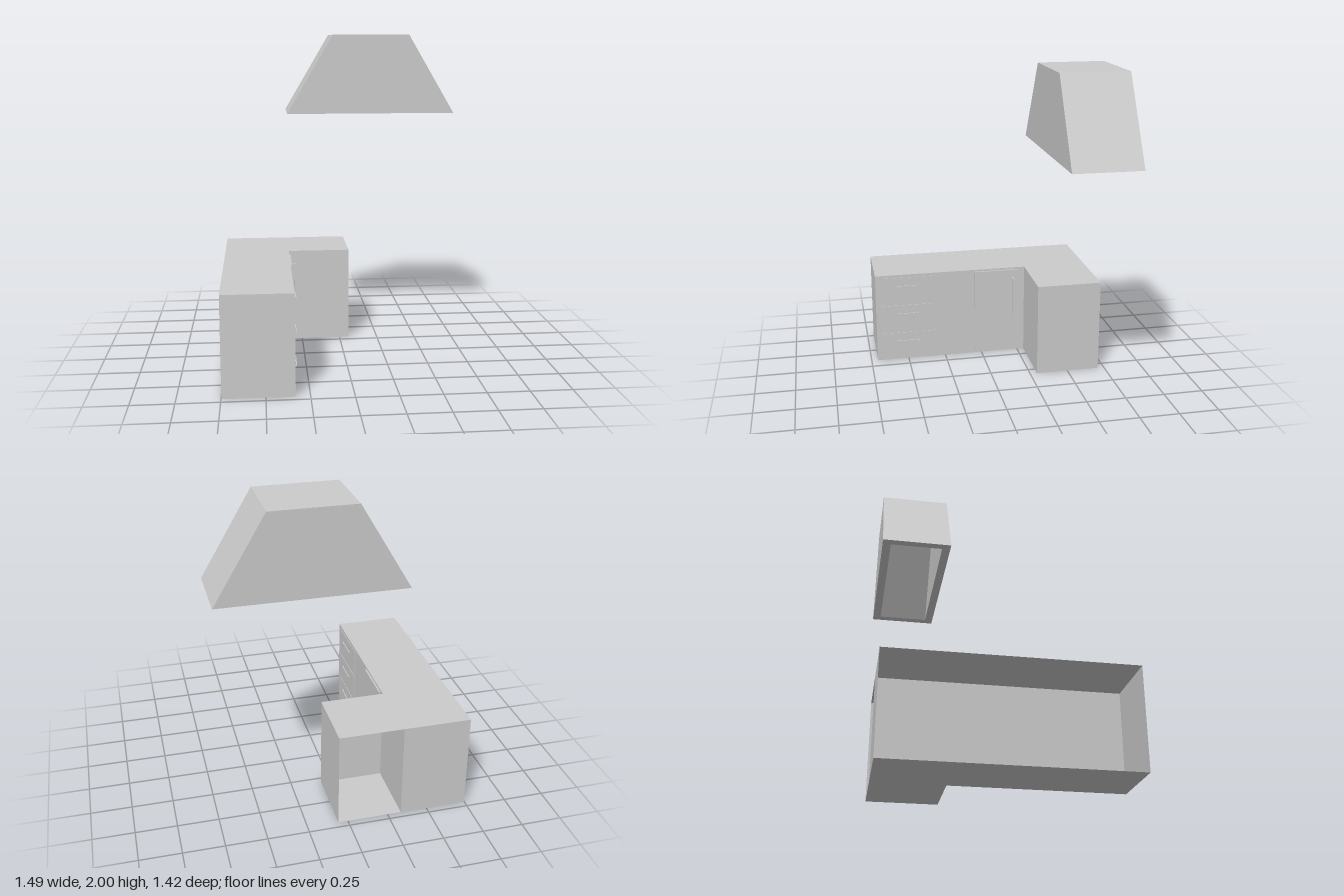
import * as THREE from 'three';

const grey = new THREE.MeshStandardMaterial({ color: 0xcccccc });
const sheet = new THREE.MeshStandardMaterial({ color: 0xcccccc, side: THREE.DoubleSide });
const FRONT = -0.335; // plane of the drawer and door front

// Box given by its [min, max] range on each axis
function box(name, [x0, x1], [y0, y1], [z0, z1], material = grey) {
  const mesh = new THREE.Mesh(new THREE.BoxGeometry(x1 - x0, y1 - y0, z1 - z0), material);
  mesh.position.set((x0 + x1) / 2, (y0 + y1) / 2, (z0 + z1) / 2);
  mesh.name = name;
  return mesh;
}

// Thin-walled carcass; openSides index the box faces (+x, -x, +y, -y, +z, -z)
function carcass(name, x, y, z, openSides) {
  const mesh = box(name, x, y, z, sheet);
  const index = Array.from(mesh.geometry.index.array);
  mesh.geometry.setIndex(index.filter((_, i) => !openSides.includes(Math.floor(i / 6))));
  mesh.geometry.clearGroups();
  return mesh;
}

// Bar handle on two posts, standing off the front along x
function handle(name, base, reach, t, [y0, y1], [z0, z1]) {
  const group = new THREE.Group();
  group.name = name;
  const tip = base + reach;
  group.add(box('handleBar', [tip - t, tip], [y0, y1], [z0, z1]));
  const upright = y1 - y0 > z1 - z0;
  for (const end of [0, 1]) {
    const y = upright ? (end ? [y1 - t, y1] : [y0, y0 + t]) : [y0, y1];
    const z = upright ? [z0, z1] : (end ? [z1 - t, z1] : [z0, z0 + t]);
    group.add(box('handlePost', [base, tip - t], y, z));
  }
  return group;
}

// Hollow tapered hood: outer skin, bottom rim and inner skin as linked rings
function hood() {
  const wall = 0.05, slope = 0.295 / 0.5;
  const ring = (y, inset) => {
    const d = (y - 1.5) * slope + inset;
    const x0 = -0.335 + d, x1 = 0.745 - d, z0 = -0.708 + inset, z1 = -0.295 - inset;
    return [[x0, y, z1], [x1, y, z1], [x1, y, z0], [x0, y, z0]];
  };
  const rings = [ring(2, 0), ring(1.5, 0), ring(1.5, wall), ring(1.95, wall)];
  const points = [];
  const quad = (a, b, c, d) => points.push(...a, ...b, ...c, ...a, ...c, ...d);
  quad(...rings[0]);
  for (let r = 0; r < 3; r++) {
    for (let i = 0; i < 4; i++) {
      const j = (i + 1) % 4;
      quad(rings[r + 1][i], rings[r + 1][j], rings[r][j], rings[r][i]);
    }
  }
  quad(...rings[3].slice().reverse());
  const geometry = new THREE.BufferGeometry();
  geometry.setAttribute('position', new THREE.Float32BufferAttribute(points, 3));
  geometry.computeVertexNormals();
  const mesh = new THREE.Mesh(geometry, grey);
  mesh.name = 'extractorHood';
  return mesh;
}

export function createModel() {
  const model = new THREE.Group();
  model.name = 'cornerKitchen';

  // L-shaped base units, open towards the room walls
  model.add(carcass('longCabinet', [-0.748, FRONT], [0, 0.6], [-0.708, 0.708], [1]));
  model.add(carcass('shortCabinet', [FRONT, 0.06], [0, 0.6], [-0.708, -0.295], [1, 5]));

  // Three drawers with horizontal pulls
  for (const y of [0.13, 0.325, 0.52]) {
    model.add(box('drawerFront', [FRONT, FRONT + 0.003], [y - 0.1, y + 0.06], [0.305, 0.672]));
    model.add(handle('drawerHandle', FRONT + 0.003, 0.013, 0.006, [y - 0.006, y + 0.006], [0.425, 0.57]));
  }

  // Door with a tall handle
  model.add(box('door', [FRONT, FRONT + 0.011], [0.02, 0.587], [-0.248, 0.045]));
  model.add(handle('doorHandle', FRONT + 0.011, 0.035, 0.011, [0.264, 0.536], [-0.217, -0.205]));

  model.add(hood());
  return model;
}
